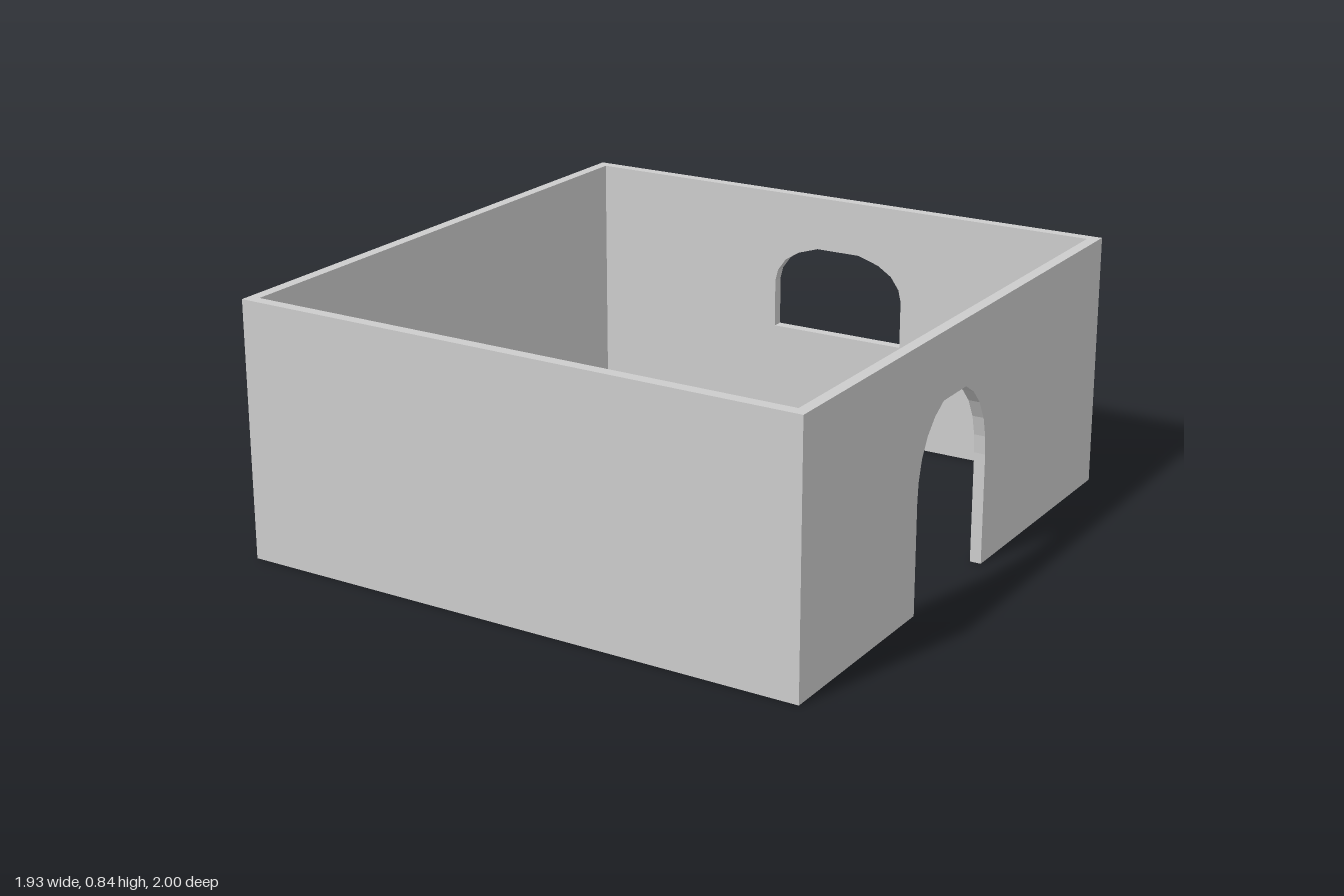
import * as THREE from 'three';

const H = 0.84, T = 0.037, X = 0.967;

// Half profiles of the arches: [distance from the centre line, height]
const DOOR = [[0.23, 0], [0.23, 0.36], [0.225, 0.42], [0.208, 0.485], [0.175, 0.545], [0.13, 0.592], [0.075, 0.625]];
const WINDOW = [[0.245, 0.355], [0.245, 0.52], [0.235, 0.56], [0.205, 0.602], [0.155, 0.634], [0.08, 0.658]];

// Mirrors a half profile, running from the left foot over the top to the right foot
function archPoints(half, centre) {
  const left = half.map(([d, y]) => new THREE.Vector2(centre - d, y));
  const right = half.map(([d, y]) => new THREE.Vector2(centre + d, y)).reverse();
  return [...left, ...right];
}

export function createModel() {
  const group = new THREE.Group();
  const material = new THREE.MeshStandardMaterial({ color: 0xcccccc, flatShading: true });

  const add = (name, geometry) => {
    const mesh = new THREE.Mesh(geometry, material);
    mesh.name = name;
    group.add(mesh);
    return mesh;
  };
  const extrude = (shape, depth) => new THREE.ExtrudeGeometry(shape, { depth, bevelEnabled: false });
  const outline = (points) => new THREE.Shape(points.map(([x, y]) => new THREE.Vector2(x, y)));

  // Back wall with an arched window
  const back = outline([[-X, 0], [X, 0], [X, H], [-X, H]]);
  back.holes.push(new THREE.Path(archPoints(WINDOW, 0.02)));
  add('backWall', extrude(back, T)).position.z = -1;

  // Right-hand wall (+x) with an arched doorway open at the floor
  const doorWall = new THREE.Shape([
    new THREE.Vector2(-0.96, 0),
    ...archPoints(DOOR, -0.075),
    new THREE.Vector2(1 - T, 0),
    new THREE.Vector2(1 - T, H),
    new THREE.Vector2(-0.96, H),
  ]);
  add('doorWall', extrude(doorWall, T).rotateY(Math.PI / 2)).position.x = X - T;

  // Plain side wall (-x)
  const side = outline([[-0.936, 0], [1 - T, 0], [1 - T, H], [-0.936, H]]);
  add('plainSideWall', extrude(side, T).rotateY(Math.PI / 2)).position.x = -X;

  // Front wall, slightly skewed in plan (plan drawn as x, -z)
  const front = outline([[-X, -0.973], [X, -1], [X, -0.96], [-X, -0.936]]);
  add('frontWall', extrude(front, H).rotateX(-Math.PI / 2));

  return group;
}
